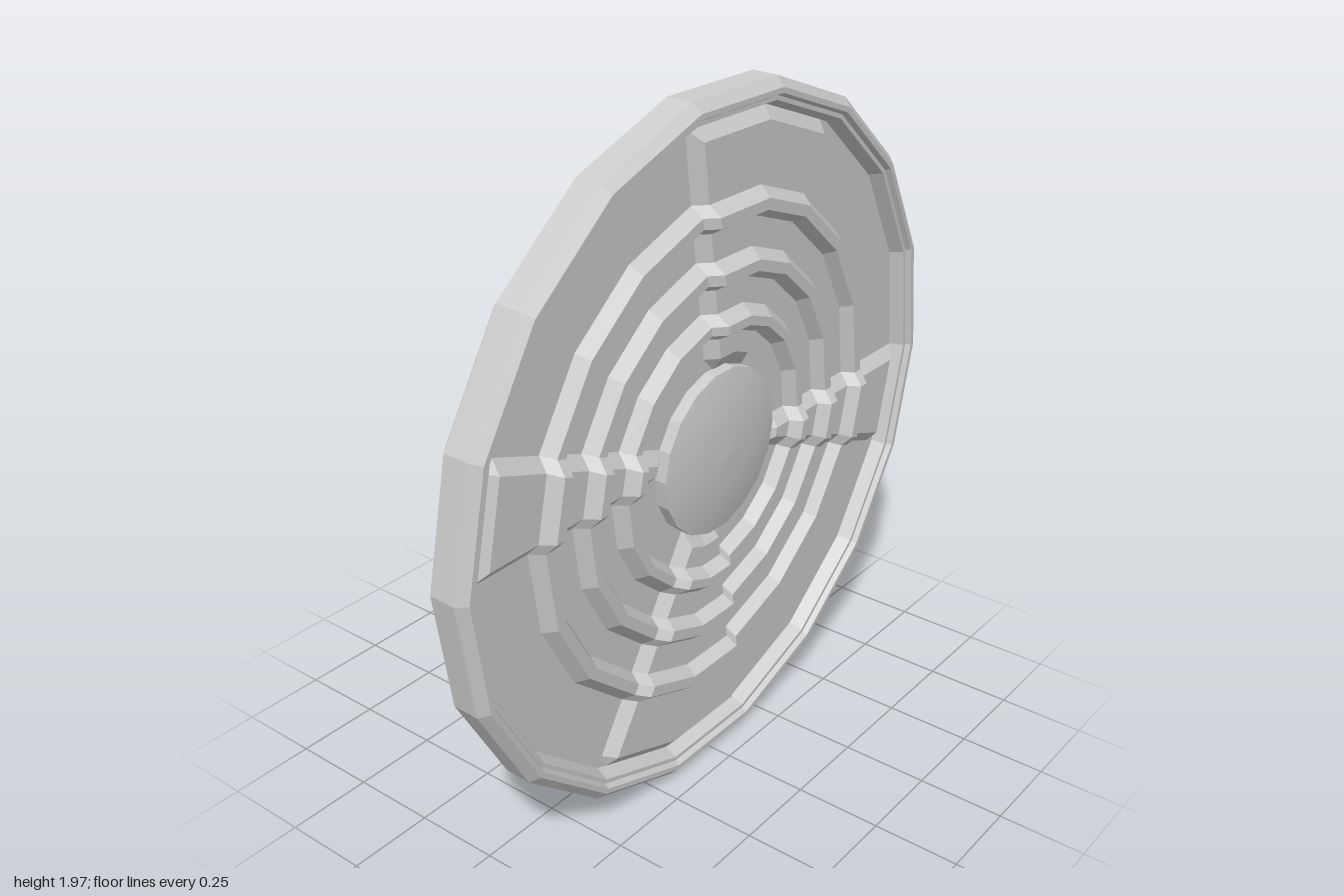
import * as THREE from 'three';

const SIDES = 18;
const STEP = (Math.PI * 2) / SIDES;
const flat = new THREE.MeshStandardMaterial({ color: 0xcccccc, flatShading: true });
const smooth = new THREE.MeshStandardMaterial({ color: 0xcccccc });

function part(name, geometry, material = flat) {
  const mesh = new THREE.Mesh(geometry, material);
  mesh.name = name;
  return mesh;
}

// Turned profile of [radius, z] points, facing +z, with a corner on the x axis
function turned(points) {
  const profile = points.map(([r, z]) => new THREE.Vector2(r, z));
  return new THREE.LatheGeometry(profile, SIDES, STEP / 2).rotateX(Math.PI / 2);
}

// Front relief: concentric ridges running over four raised wedge arms
function reliefGeometry() {
  const floor = 0.01, armHeight = 0.03, ridgeHeight = 0.035, bevel = 0.035;

  // Rows from the hub outwards: radius, ridge height, arm height
  const rows = [[0.235, 0, 0], [0.28, 0, armHeight]];
  for (const [inner, outer] of [[0.34, 0.415], [0.485, 0.565], [0.645, 0.725]]) {
    rows.push([inner, 0, armHeight], [inner + 0.022, ridgeHeight, armHeight],
      [outer - 0.027, ridgeHeight, armHeight], [outer, 0, armHeight]);
  }
  rows.push([0.89, 0, armHeight], [0.926, 0, 0]);

  // Spokes: angle step, bevel side (-1, 0, 1) and whether it lies on an arm top
  const spokes = [];
  const arms = [[3, 5], [8, 9], [12, 14], [17, 18]];
  for (let i = 0; i < SIDES; i++) {
    const inside = arms.some(([a, b]) => i > a && i < b);
    spokes.push([i, 0, inside]);
    if (arms.some(([a]) => a === i)) spokes.push([i, 1, true]);
    if (arms.some(([, b]) => b === i + 1)) spokes.push([i + 1, -1, true]);
  }

  const positions = [], indices = [];
  for (const [r, ridge, arm] of rows) {
    for (const [i, side, raised] of spokes) {
      const turn = bevel / r;
      const angle = i * STEP + side * turn;
      // keep bevel points on the straight side of the polygon
      const radius = side ? r * Math.cos(STEP / 2) / Math.cos(STEP / 2 - turn) : r;
      positions.push(radius * Math.cos(angle), radius * Math.sin(angle),
        floor + ridge + (raised ? arm : 0));
    }
  }
  const n = spokes.length;
  for (let j = 0; j < rows.length - 1; j++) {
    for (let i = 0; i < n; i++) {
      const a = j * n + i, b = j * n + (i + 1) % n;
      indices.push(a, a + n, b + n, a, b + n, b);
    }
  }
  const geometry = new THREE.BufferGeometry();
  geometry.setAttribute('position', new THREE.Float32BufferAttribute(positions, 3));
  geometry.setIndex(indices);
  geometry.computeVertexNormals();
  return geometry;
}

// Arched loop on the back: half outlines of [along, z], mirrored
function loopGeometry() {
  const outer = [[0.42, -0.02], [0.42, -0.13], [0.28, -0.25], [0.21, -0.315], [0.13, -0.37], [0.04, -0.405]];
  const inner = [[0.21, -0.02], [0.18, -0.14], [0.12, -0.2], [0.04, -0.245]];
  const mirrored = (pts) => [...pts, ...pts.map(([u, z]) => [-u, z]).reverse()];
  const outline = [...mirrored(outer), ...mirrored(inner).reverse()];
  const shape = new THREE.Shape(outline.map(([u, z]) => new THREE.Vector2(z, u)));
  const width = 0.15;
  const geometry = new THREE.ExtrudeGeometry(shape, { depth: width, bevelEnabled: false });
  // shape x becomes z, extrusion runs across x
  return geometry.translate(0, 0, -width / 2).rotateY(-Math.PI / 2);
}

export function createModel() {
  const model = new THREE.Group();
  model.name = 'shankButton';

  // Back plate with recess, rim and stepped front lip
  model.add(part('rimAndBack', turned([
    [0, -0.03], [0.735, -0.03], [0.755, -0.065], [0.965, -0.065], [1, -0.035], [1, 0.04],
    [0.975, 0.065], [0.96, 0.065], [0.952, 0.05], [0.94, 0.05], [0.925, 0.01],
  ])));

  model.add(part('frontRelief', reliefGeometry()));

  // Low domed hub with an upright edge
  model.add(part('hubEdge', turned([[0.24, 0], [0.24, 0.045]])));
  model.add(part('hubDome', turned([[0.24, 0.045], [0.17, 0.06], [0.09, 0.068], [0, 0.071]]), smooth));

  const loop = part('backLoop', loopGeometry());
  loop.position.set(-0.01, -0.045, 0);
  loop.rotation.z = THREE.MathUtils.degToRad(-21);
  model.add(loop);

  // Slight forward lean
  model.rotation.x = 0.031;
  model.position.set(0, 0.987, 0.155);

  const root = new THREE.Group();
  root.name = 'button';
  root.add(model);
  return root;
}
